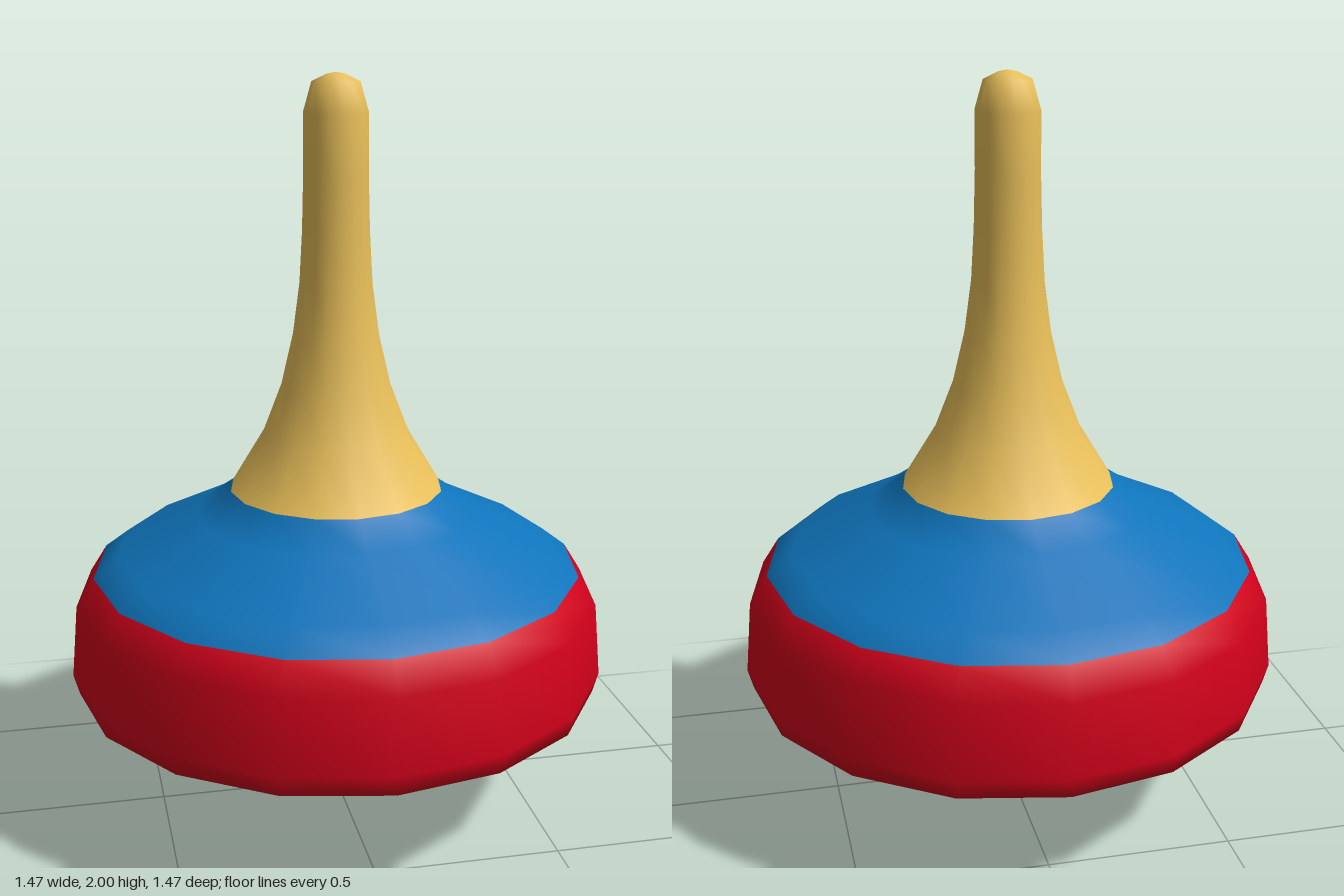
import * as THREE from 'three';

const SIDES = 16;

// Turned profile from tip to handle: [radius, height]
const PROFILE = [
  [0, 0], [0.035, 0.004], [0.07, 0.016], [0.12, 0.052], [0.22, 0.132], [0.472, 0.237],
  [0.624, 0.303],
  [0.72, 0.345], [0.735, 0.4], [0.717, 0.6], [0.668, 0.678],
  [0.6, 0.73], [0.385, 0.835], [0.29, 0.9],
  [0.2, 1.05], [0.15, 1.18], [0.117, 1.32], [0.098, 1.46], [0.09, 1.6], [0.086, 1.75],
  [0.086, 1.9], [0.064, 1.976], [0.025, 1.995], [0, 2],
];

function material(name, color) {
  const m = new THREE.MeshStandardMaterial({ color });
  m.name = name;
  return m;
}

export function createModel() {
  const group = new THREE.Group();
  group.name = 'spinningTop';

  const wood = material('wood', 0xe7be59);
  const green = material('green', 0x009a48);
  const red = material('red', 0xd0001a);
  const blue = material('blue', 0x0f74bb);

  // One smooth turned body; each painted band shares its vertices and normals
  const body = new THREE.LatheGeometry(PROFILE.map(([r, y]) => new THREE.Vector2(r, y)), SIDES);

  function addBand(name, mat, from, to) {
    const index = [];
    const n = PROFILE.length;
    for (let s = 0; s < SIDES; s++) {
      for (let j = from; j < to; j++) {
        const a = s * n + j, b = a + n;
        if (PROFILE[j][0] > 0) index.push(a, b, a + 1);
        if (PROFILE[j + 1][0] > 0) index.push(b + 1, a + 1, b);
      }
    }
    const geometry = new THREE.BufferGeometry();
    for (const key of ['position', 'normal', 'uv']) geometry.setAttribute(key, body.getAttribute(key));
    geometry.setIndex(index);
    const mesh = new THREE.Mesh(geometry, mat);
    mesh.name = name;
    group.add(mesh);
  }

  addBand('tip', wood, 0, 5);
  addBand('lowerBand', green, 5, 6);
  addBand('rim', red, 6, 10);
  addBand('shoulder', blue, 10, 13);
  addBand('handle', wood, 13, PROFILE.length - 1);
  return group;
}
